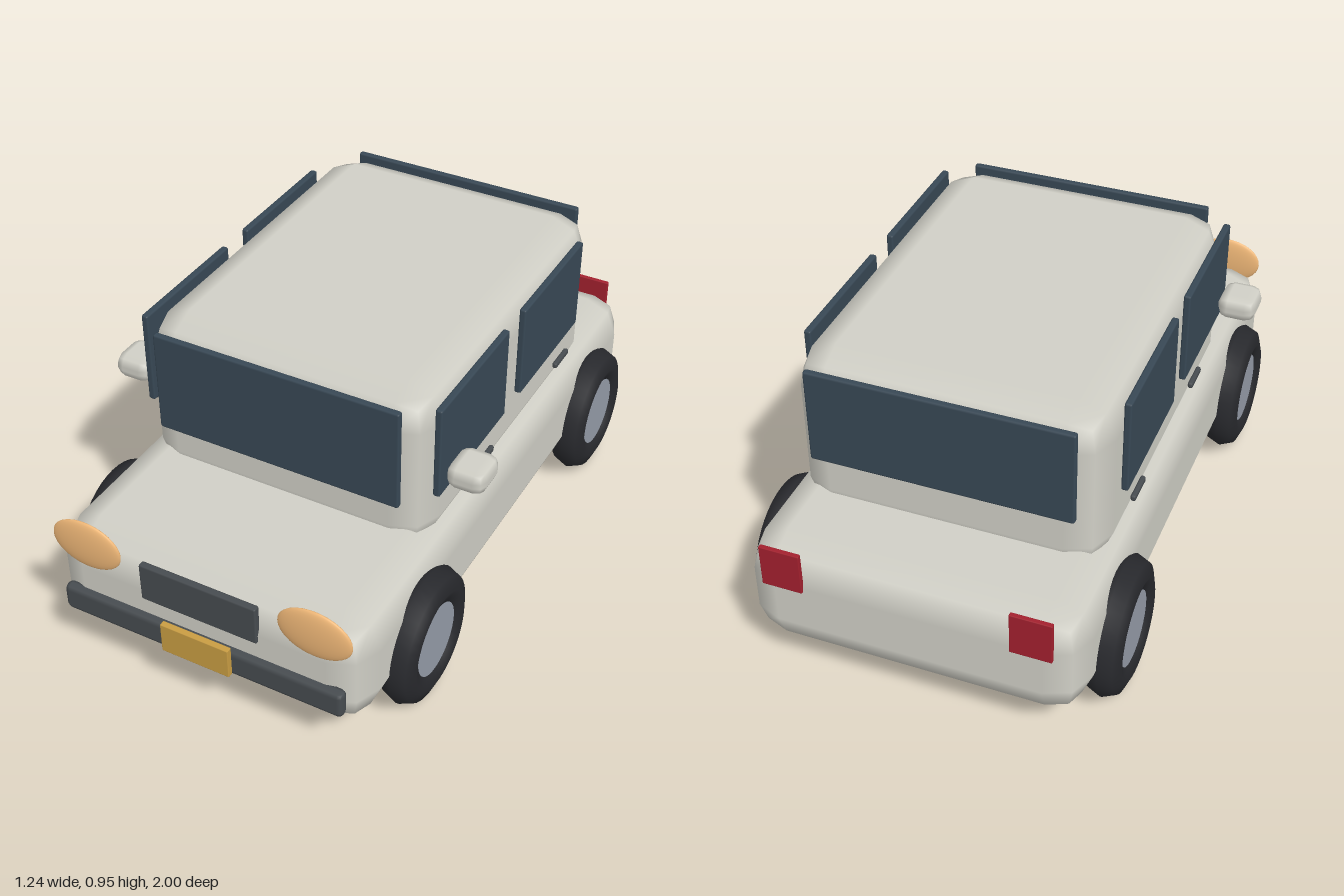
import * as THREE from 'three';

const paint = (color) => new THREE.MeshStandardMaterial({ color });

// Box with smooth two-step bevels: outer grid vertices are pulled onto a radius r around an inner box.
function bevelBox(w, h, d, r) {
  const g = new THREE.BoxGeometry(w, h, d, 3, 3, 3);
  const half = new THREE.Vector3(w / 2, h / 2, d / 2);
  const p = g.attributes.position, n = g.attributes.normal;
  const inner = new THREE.Vector3(), out = new THREE.Vector3();
  for (let i = 0; i < p.count; i++) {
    for (const k of ['x', 'y', 'z']) {
      const v = { x: p.getX(i), y: p.getY(i), z: p.getZ(i) }[k];
      const s = Math.sign(v);
      inner[k] = s * (half[k] - r);
      out[k] = Math.abs(v) > half[k] * 0.9 ? s : 0;
    }
    out.normalize();
    n.setXYZ(i, out.x, out.y, out.z);
    inner.addScaledVector(out, r);
    p.setXYZ(i, inner.x, inner.y, inner.z);
  }
  return g;
}

export function createModel() {
  const car = new THREE.Group();
  car.name = 'car';

  const body = paint(0xd0cfc6), glass = paint(0x384855), rubber = paint(0x28292d);
  const hubMetal = paint(0x959ca8), trim = paint(0x474c50), lamp = paint(0xf0b878);
  const plateYellow = paint(0xc99d43), red = paint(0xa3202e);

  function add(name, geometry, material, x, y, z) {
    const m = new THREE.Mesh(geometry, material);
    m.name = name;
    m.position.set(x, y, z);
    car.add(m);
    return m;
  }
  // Bevelled block given by its extents on each axis
  function block(name, material, [x0, x1], [y0, y1], [z0, z1], r) {
    return add(name, bevelBox(x1 - x0, y1 - y0, z1 - z0, r), material,
      (x0 + x1) / 2, (y0 + y1) / 2, (z0 + z1) / 2);
  }

  // Shell
  block('lowerBody', body, [-0.516, 0.516], [0.125, 0.497], [-0.993, 0.96], 0.113);
  block('cabin', body, [-0.47, 0.47], [0.4, 0.96], [-0.71, 0.512], 0.113);

  // Front and rear glass
  block('windshield', glass, [-0.4, 0.4], [0.606, 0.938], [0.512, 0.534], 0.007);
  block('rearWindow', glass, [-0.4, 0.4], [0.632, 0.938], [-0.731, -0.709], 0.007);

  // Nose
  block('grille', trim, [-0.193, 0.191], [0.358, 0.488], [0.945, 0.968], 0.006);
  block('bumper', trim, [-0.466, 0.466], [0.21, 0.301], [0.943, 0.982], 0.017);
  block('numberPlate', plateYellow, [-0.113, 0.113], [0.218, 0.32], [0.98, 1], 0.003);

  for (const s of [1, -1]) {
    const side = s > 0 ? 'left' : 'right';
    const span = (a, b) => (s > 0 ? [a, b] : [-b, -a]);

    // Doors: windows and handles
    [['Front', [0.013, 0.458], [0.09, 0.19]], ['Rear', [-0.543, -0.099], [-0.483, -0.382]]]
      .forEach(([end, win, grip]) => {
        block(`${side}${end}Window`, glass, span(0.469, 0.492), [0.628, 0.932], win, 0.007);
        block(`${side}${end}DoorHandle`, trim, span(0.48, 0.497), [0.543, 0.564], grip, 0.007);
      });

    block(`${side}Mirror`, body, span(0.497, 0.619), [0.662, 0.742], [0.319, 0.452], 0.033);

    // Lamps
    const head = add(`${side}Headlight`, new THREE.SphereGeometry(1, 32, 16), lamp, s * 0.374, 0.48, 0.96);
    head.scale.set(0.117, 0.082, 0.017);
    block(`${side}TailLight`, red, span(0.312, 0.437), [0.372, 0.51], [-1, -0.985], 0.003);

    // Wheels
    for (const [end, z] of [['Front', 0.588], ['Rear', -0.65]]) {
      const tire = add(`${side}${end}Tire`, new THREE.TorusGeometry(0.154, 0.058, 8, 40), rubber, s * 0.517, 0.22, z);
      tire.rotation.y = Math.PI / 2;
      const hub = add(`${side}${end}Hub`, new THREE.CylinderGeometry(0.115, 0.115, 0.086, 32), hubMetal, s * 0.517, 0.22, z);
      hub.rotation.z = Math.PI / 2;
    }
  }

  return car;
}
